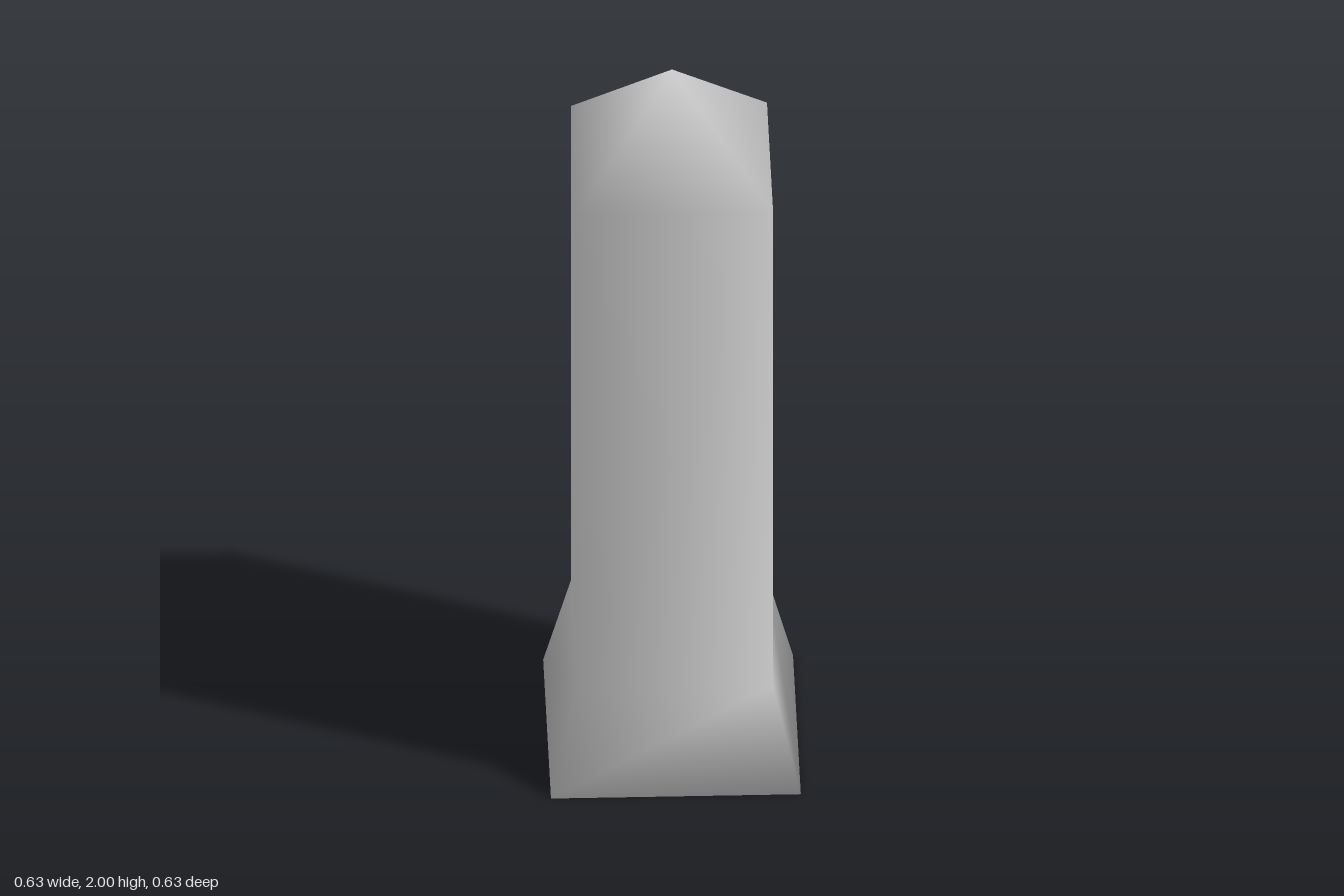
import * as THREE from 'three';

// Square cross-sections, bottom to top: [height, half width]
const SECTIONS = [[0, 0.316], [0.285, 0.248], [1.728, 0.248]];
const CORNERS = [[1, 1], [1, -1], [-1, -1], [-1, 1]];
const APEX_HEIGHT = 2;

function pillarGeometry() {
  const positions = [];
  const index = [];
  for (const [y, r] of SECTIONS) {
    for (const [x, z] of CORNERS) positions.push(x * r, y, z * r);
  }
  positions.push(0, APEX_HEIGHT, 0);
  const apex = SECTIONS.length * 4;

  // Underside
  index.push(0, 2, 1, 0, 3, 2);

  // Flared foot and straight shaft
  for (let s = 0; s < SECTIONS.length - 1; s++) {
    for (let i = 0; i < 4; i++) {
      const a = s * 4 + i;
      const b = s * 4 + (i + 1) % 4;
      index.push(a, b, b + 4, a, b + 4, a + 4);
    }
  }

  // Pyramid tip
  for (let i = 0; i < 4; i++) {
    index.push(apex - 4 + i, apex - 4 + (i + 1) % 4, apex);
  }

  // Shared corners keep the shading smooth across every edge
  const geometry = new THREE.BufferGeometry();
  geometry.setAttribute('position', new THREE.Float32BufferAttribute(positions, 3));
  geometry.setIndex(index);
  geometry.computeVertexNormals();
  return geometry;
}

export function createModel() {
  const stone = new THREE.MeshStandardMaterial({ color: 0xcccccc });
  stone.name = 'light grey';

  const pillar = new THREE.Mesh(pillarGeometry(), stone);
  pillar.name = 'pillar';

  const model = new THREE.Group();
  model.name = 'pointedPost';
  model.add(pillar);
  return model;
}
